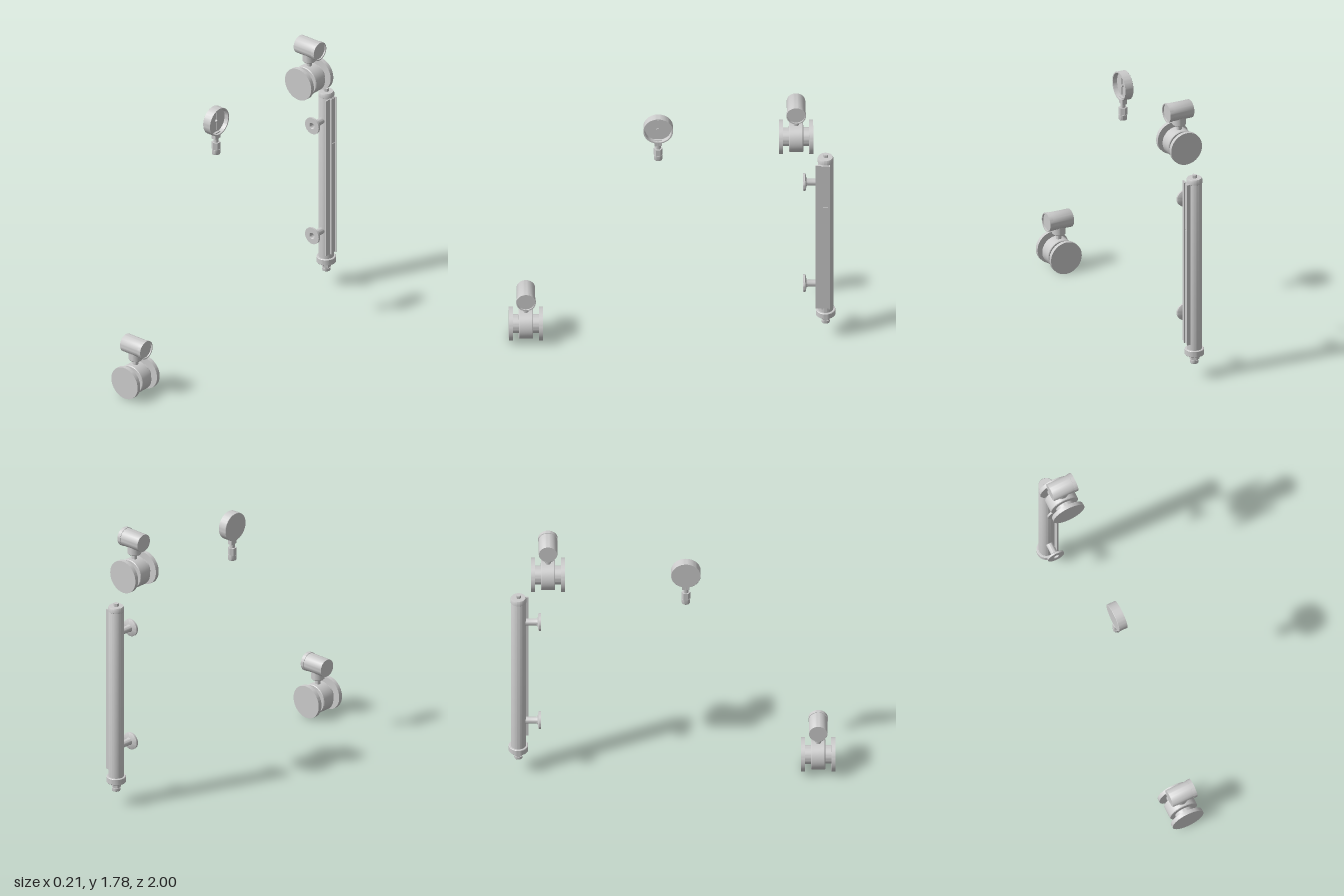
import * as THREE from 'three';
import { toCreasedNormals } from 'three/addons/utils/BufferGeometryUtils.js';

const grey = new THREE.MeshStandardMaterial({ color: 0xcccccc });

function add(parent, name, geometry, x = 0, y = 0, z = 0) {
  const mesh = new THREE.Mesh(geometry, grey);
  mesh.name = name;
  mesh.position.set(x, y, z);
  parent.add(mesh);
  return mesh;
}

// Turned part around y; profile is [radius, height] from bottom to top.
function turned(profile, sides = 48) {
  const points = profile.map(([r, h]) => new THREE.Vector2(r, h));
  return toCreasedNormals(new THREE.LatheGeometry(points, sides), 0.6);
}
const alongX = (g) => g.rotateZ(-Math.PI / 2);
const alongZ = (g) => g.rotateX(Math.PI / 2);
const box = (w, h, d) => new THREE.BoxGeometry(w, h, d);

function group(parent, name, x, y, z) {
  const g = new THREE.Group();
  g.name = name;
  g.position.set(x, y, z);
  parent.add(g);
  return g;
}

// Flanged flow meter, pipe along z, with a transmitter head on top.
function flowMeter(parent, name, y, z) {
  const meter = group(parent, name, 0, y, z);
  add(meter, 'pipe', alongZ(turned([[0.058, -0.09], [0.058, 0.09]])));
  add(meter, 'meterBody', alongZ(turned([
    [0.05, -0.044], [0.089, -0.044], [0.093, -0.04],
    [0.093, 0.04], [0.089, 0.044], [0.05, 0.044]])));
  for (const s of [-1, 1]) {
    add(meter, 'flange', alongZ(turned([
      [0, -0.0125], [0.105, -0.0125], [0.105, 0.0125], [0, 0.0125]], 64)), 0, 0, s * 0.0925);
  }
  add(meter, 'stem', turned([[0.017, 0.08], [0.017, 0.135]], 24));
  add(meter, 'headNeck', turned([
    [0, 0.123], [0.037, 0.123], [0.042, 0.128], [0.042, 0.2]], 32));
  add(meter, 'head', alongX(turned([
    [0, -0.077], [0.056, -0.077], [0.057, -0.075], [0.057, 0.07]])), 0, 0.216, 0);
  // Screwed cap with a sunken window
  add(meter, 'headCap', alongX(turned([
    [0.055, 0.064], [0.06, 0.064], [0.06, 0.087], [0.053, 0.087],
    [0.053, 0.078], [0, 0.078]])), 0, 0.216, 0);
}

// Round pressure gauge, dial facing +x.
function pressureGauge(parent) {
  const gauge = group(parent, 'pressureGauge', -0.036, 1.54, 0.085);
  add(gauge, 'gaugeCase', alongX(turned([
    [0, -0.028], [0.089, -0.028], [0.091, -0.026], [0.091, 0.028],
    [0.083, 0.028], [0.081, 0.0], [0, 0.0]], 64)));
  add(gauge, 'needle', box(0.004, 0.125, 0.006), 0.008, 0.004, 0);
  add(gauge, 'needleHub', alongX(turned([
    [0.009, 0], [0.009, 0.012], [0, 0.012]], 20)));
  add(gauge, 'socketBlock', box(0.03, 0.045, 0.046), 0, -0.097, 0);
  add(gauge, 'stem', turned([[0.016, -0.15], [0.016, -0.085]], 24));
  add(gauge, 'hexNut', toCreasedNormals(new THREE.CylinderGeometry(0.027, 0.027, 0.05, 6), 0.4), 0, -0.169, 0);
  add(gauge, 'connector', turned([
    [0, -0.226], [0.024, -0.226], [0.026, -0.223], [0.026, -0.192], [0, -0.192]], 32));
}

// Tall level column with an indicator rail on its +x side.
function levelGauge(parent) {
  const gauge = group(parent, 'levelGauge', -0.015, 0, -0.94);
  add(gauge, 'chamber', turned([
    [0.047, 0.19], [0.047, 1.326], [0.043, 1.337], [0, 1.337]]));
  add(gauge, 'topCap', turned([
    [0.047, 1.305], [0.049, 1.307], [0.049, 1.328], [0.044, 1.338], [0, 1.338]]));
  add(gauge, 'ventPlug', turned([[0.016, 1.33], [0.016, 1.357], [0, 1.357]], 6));
  add(gauge, 'bottomFlange', turned([
    [0, 0.156], [0.057, 0.156], [0.06, 0.159], [0.06, 0.193], [0.057, 0.196], [0.04, 0.196]]));
  add(gauge, 'drainNeck', turned([[0, 0.115], [0.022, 0.115], [0.022, 0.16]], 24));
  add(gauge, 'drainNut', toCreasedNormals(new THREE.CylinderGeometry(0.03, 0.03, 0.026, 6), 0.4), 0, 0.138, 0);
  add(gauge, 'drainTip', turned([[0, 0.098], [0.024, 0.098], [0.026, 0.101], [0.026, 0.118], [0, 0.118]], 24));

  // Indicator channel: backing, two side rails, and a two-part column
  const length = 1.073, mid = 0.77;
  add(gauge, 'indicatorBack', box(0.012, length, 0.05), 0.046, mid, 0);
  for (const s of [-1, 1]) add(gauge, 'indicatorRail', box(0.02, length, 0.007), 0.052, mid, s * 0.0215);
  add(gauge, 'lowerIndicator', box(0.006, 0.755, 0.03), 0.054, 0.615, 0);
  add(gauge, 'upperIndicator', box(0.004, 0.308, 0.03), 0.054, 1.149, 0);
  add(gauge, 'scalePlate', box(0.008, length, 0.044), 0.047, mid, 0.041);

  // Side connections towards +z, ending in ferrules with an open bore
  for (const y of [0.387, 1.149]) {
    add(gauge, 'sideConnection', alongZ(turned([
      [0.021, 0.03], [0.021, 0.108], [0.024, 0.117], [0.05, 0.122], [0.055, 0.125],
      [0.055, 0.137], [0.02, 0.137], [0.018, 0.135], [0.018, 0.045], [0, 0.045]], 40)), 0, y, 0);
  }
}

export function createModel() {
  const model = new THREE.Group();
  model.name = 'processInstruments';
  flowMeter(model, 'lowerFlowMeter', 0.105, 0.895);
  flowMeter(model, 'upperFlowMeter', 1.502, -0.759);
  pressureGauge(model);
  levelGauge(model);
  return model;
}
